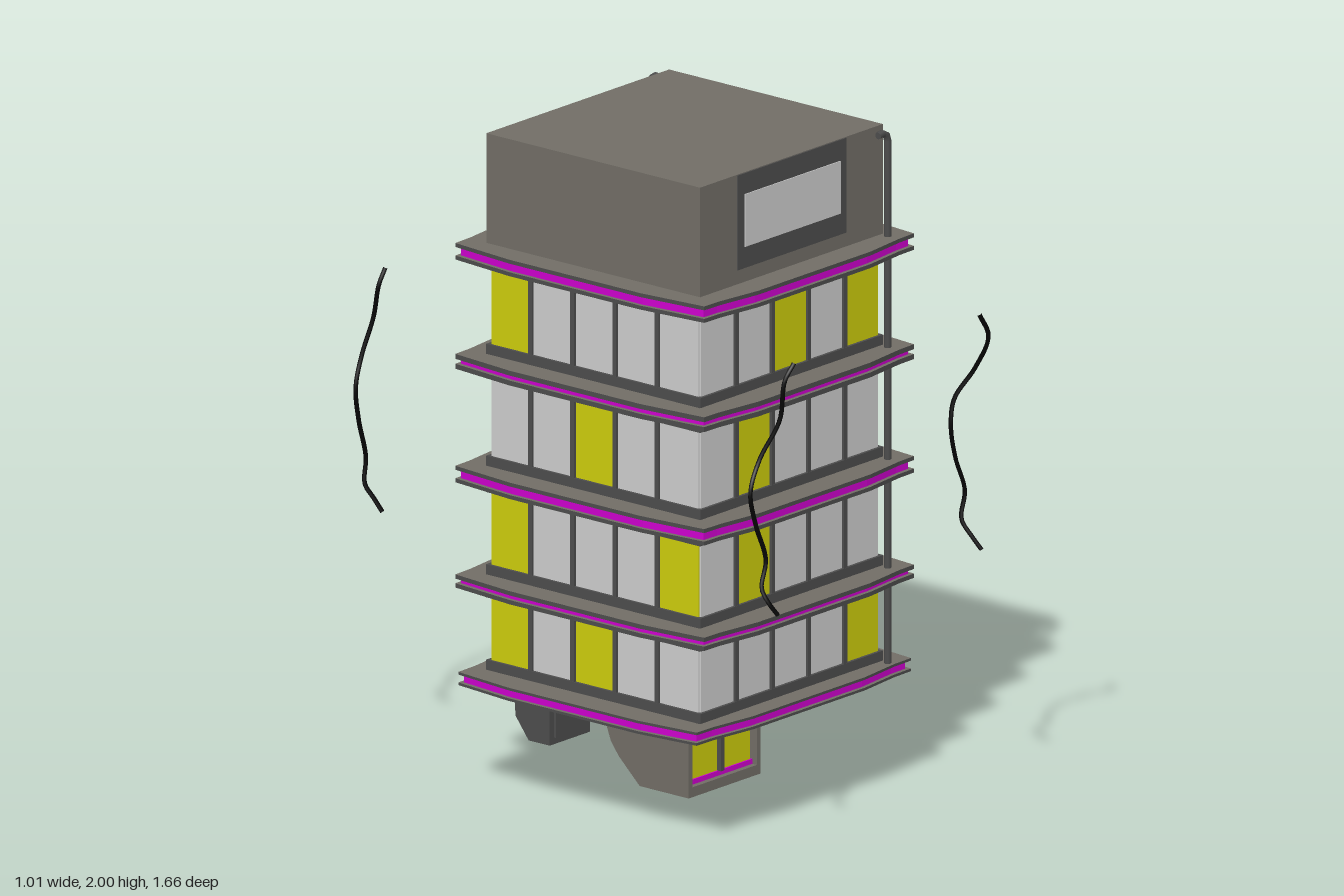
import * as THREE from 'three';

const mat = (name, color) => {
  const m = new THREE.MeshStandardMaterial({ color });
  m.name = name;
  return m;
};

export function createModel() {
  const model = new THREE.Group();
  model.name = 'towerBlock';
  const wall = mat('warm grey wall', 0x716d66);
  const dark = mat('dark grey trim', 0x4c4c4c);
  const glass = mat('pale glass', 0xcccccc);
  const lit = mat('yellow lit glass', 0xcccc0c);
  const neon = mat('magenta strip', 0xcc00cc);
  const black = mat('black cable', 0x050505);
  const CZ = 0.033; // the tower sits slightly forward of centre

  const add = (parent, name, geo, material) => {
    const m = new THREE.Mesh(geo, material);
    m.name = name;
    parent.add(m);
    return m;
  };
  // Box given by its min and max corners
  const box = (parent, name, x0, x1, y0, y1, z0, z1, material) => {
    const g = new THREE.BoxGeometry(x1 - x0, y1 - y0, z1 - z0);
    g.translate((x0 + x1) / 2, (y0 + y1) / 2, (z0 + z1) / 2);
    return add(parent, name, g, material);
  };
  const group = (name, parent = model) => {
    const g = new THREE.Group();
    g.name = name;
    parent.add(g);
    return g;
  };
  const toShape = pts => new THREE.Shape(pts.map(p => new THREE.Vector2(p[0], p[1])));
  // Side profile of [z, y] points, extruded from x0 to x1
  const profile = (parent, name, pts, x0, x1, material) => {
    const g = new THREE.ExtrudeGeometry(toShape(pts), { depth: x1 - x0, bevelEnabled: false });
    g.rotateY(-Math.PI / 2);
    g.translate(x1, 0, 0);
    return add(parent, name, g, material);
  };

  // Floor ledges: two bowed plates with a magenta strip between them
  const ledgeLayer = (parent, name, hx, hz, y0, y1, materials) => {
    const q = [[hx, 0.25], [hx - 0.022, hz - 0.02], [0.4, hz - 0.018], [0.25, hz]];
    const r = [...q].reverse();
    const pts = [
      ...q,
      ...r.map(([x, y]) => [-x, y]),
      ...q.map(([x, y]) => [-x, -y]),
      ...r.map(([x, y]) => [x, -y]),
    ];
    const g = new THREE.ExtrudeGeometry(toShape(pts), { depth: y1 - y0, bevelEnabled: false });
    g.rotateX(-Math.PI / 2);
    g.translate(0, y0, CZ);
    add(parent, name, g, materials);
  };
  const ledges = [
    [0.33, 0.37, 0.5, 0.475, 0.008],
    [0.62, 0.66, 0.49, 0.495, 0.013],
    [0.94, 0.99, 0.49, 0.495, 0.012],
    [1.285, 1.33, 0.49, 0.495, 0.015],
    [1.617, 1.667, 0.49, 0.495, 0.012],
  ];
  for (const [y0, y1, hx, hz, t] of ledges) {
    const g = group('ledge');
    ledgeLayer(g, 'ledgeBottom', hx, hz, y0, y0 + t, [wall, dark]);
    ledgeLayer(g, 'ledgeStrip', hx - 0.012, hz - 0.012, y0 + t, y1 - t, neon);
    ledgeLayer(g, 'ledgeTop', hx, hz, y1 - t, y1, [wall, dark]);
  }

  // Window storeys
  box(model, 'core', -0.388, 0.388, 0.35, 1.63, CZ - 0.388, CZ + 0.388, dark);
  const storeys = [[0.37, 0.4, 0.59, 0.62], [0.66, 0.69, 0.91, 0.94],
    [0.99, 1.02, 1.255, 1.285], [1.33, 1.36, 1.595, 1.62]];
  // Lit columns per storey, bottom to top, counted left to right from outside
  const sides = [
    ['front', 0, [[4], [1], [1], [2, 4]]],
    ['left', Math.PI / 2, [[], [3], [2], [3]]],
    ['back', Math.PI, [[1, 4], [1, 3], [2], [0, 2, 4]]],
    ['right', -Math.PI / 2, [[0, 2], [0, 4], [2], [0]]],
  ];
  for (const [label, turn, litColumns] of sides) {
    const side = group(label + 'Windows');
    side.position.z = CZ;
    side.rotation.y = turn;
    storeys.forEach(([y0, sill, head, y1], s) => {
      box(side, 'sill', -0.408, 0.408, y0, sill, 0.38, 0.409, dark);
      box(side, 'lintel', -0.408, 0.408, head, y1, 0.38, 0.409, dark);
      for (let c = 0; c < 5; c++) {
        const x = (c - 2) * 0.161;
        box(side, 'pane', x - 0.073, x + 0.073, sill, head, 0.386, 0.4,
          litColumns[s].includes(c) ? lit : glass);
        if (c < 4) box(side, 'mullion', x + 0.073, x + 0.088, sill, head, 0.38, 0.408, dark);
      }
    });
  }

  // Solid top storey with its large windows
  const top = group('topStorey');
  box(top, 'topBlock', -0.408, 0.408, 1.64, 2, CZ - 0.408, CZ + 0.408, wall);
  for (const turn of [0, Math.PI]) {
    const w = group('topWindow', top);
    w.position.z = CZ;
    w.rotation.y = turn;
    box(w, 'topWindowSurround', -0.243, 0.243, 1.71, 1.998, 0.405, 0.411, dark);
    box(w, 'topWindowGlass', -0.213, 0.213, 1.775, 1.935, 0.408, 0.414, glass);
  }
  box(top, 'sideWindowFrame', 0.404, 0.411, 1.705, 1.995, -0.213, 0.283, dark);
  box(top, 'sideWindowGlass', 0.406, 0.413, 1.715, 1.985, -0.203, 0.273, glass);

  // Drainpipes with a hook at the roof
  for (const z of [0.468, -0.396]) {
    const path = new THREE.CurvePath();
    const p = [[0.355, 1.982], [0.385, 1.987], [0.398, 1.965], [0.398, 0.36]]
      .map(([x, y]) => new THREE.Vector3(x, y, z));
    for (let i = 0; i < 3; i++) path.add(new THREE.LineCurve3(p[i], p[i + 1]));
    add(model, 'drainpipe', new THREE.TubeGeometry(path, 80, 0.011, 8, false), dark);
    const cap = new THREE.CircleGeometry(0.011, 8).rotateY(-Math.PI / 2);
    cap.translate(0.355, 1.982, z);
    add(model, 'pipeEnd', cap, dark);
  }

  // Entrance below the tower, curved at the back
  const entrance = group('entrance');
  profile(entrance, 'entranceBody', [[0.09, 0], [-0.07, 0], [-0.15, 0.075], [-0.18, 0.115],
    [-0.197, 0.16], [-0.203, 0.2], [-0.203, 0.335], [0.09, 0.335]].reverse(), -0.08, 0.24, wall);
  for (const [x0, x1] of [[-0.08, -0.062], [0.224, 0.24]])
    box(entrance, 'entrancePost', x0, x1, 0, 0.335, 0.09, 0.117, wall);
  box(entrance, 'threshold', -0.062, 0.224, 0, 0.03, 0.09, 0.117, wall);
  box(entrance, 'doorMullion', 0.072, 0.088, 0.045, 0.335, 0.09, 0.11, dark);
  box(entrance, 'doorStrip', -0.062, 0.224, 0.03, 0.045, 0.089, 0.1, neon);
  for (const [x0, x1] of [[-0.058, 0.072], [0.088, 0.22]])
    box(entrance, 'doorGlass', x0, x1, 0.045, 0.335, 0.088, 0.095, lit);
  profile(entrance, 'rearStrip', [[-0.074, -0.001], [-0.152, 0.072], [-0.146, 0.076],
    [-0.068, 0.003]].reverse(), -0.06, 0.22, neon);

  // Ventilation unit under the back
  const vent = group('ventUnit');
  profile(vent, 'ventBody', [[-0.17, 0.17], [-0.25, 0.17], [-0.3, 0.235], [-0.305, 0.3],
    [-0.325, 0.335], [-0.17, 0.335]].reverse(), -0.365, -0.185, dark);
  box(vent, 'ventFrame', -0.345, -0.205, 0.19, 0.285, -0.172, -0.163, dark);
  for (const y of [0.295, 0.31, 0.325])
    box(vent, 'ventSlat', -0.368, -0.182, y - 0.004, y + 0.004, -0.3, -0.164, dark);

  // Loose cables hanging around the tower
  const cables = [
    [[0.4, 1.5, 0.815], [0.43, 1.43, 0.825], [0.435, 1.32, 0.77], [0.385, 1.23, 0.733],
      [0.37, 1.15, 0.733], [0.39, 1.05, 0.733], [0.43, 0.94, 0.735], [0.412, 0.86, 0.737],
      [0.425, 0.81, 0.765], [0.44, 0.77, 0.79]],
    [[-0.385, 1.53, 0.78], [-0.415, 1.48, 0.77], [-0.42, 1.36, 0.755], [-0.46, 1.24, 0.712],
      [-0.5, 1.15, 0.712], [-0.48, 1.05, 0.714], [-0.435, 0.93, 0.715], [-0.455, 0.85, 0.716],
      [-0.45, 0.81, 0.737], [-0.43, 0.77, 0.757]],
  ];
  cables.push(cables[0].map(([x, y, z]) => [x, y, z - 1.54]));
  cables.push([[-0.4, 1.51, -0.767], [-0.42, 1.46, -0.775], [-0.42, 1.36, -0.795],
    [-0.445, 1.24, -0.82], [-0.468, 1.15, -0.822], [-0.455, 1.05, -0.822], [-0.425, 0.93, -0.82],
    [-0.43, 0.85, -0.82], [-0.42, 0.81, -0.795], [-0.41, 0.77, -0.77]]);
  for (const pts of cables) {
    const curve = new THREE.CatmullRomCurve3(pts.map(p => new THREE.Vector3(...p)));
    add(model, 'cable', new THREE.TubeGeometry(curve, 48, 0.007, 6, false), black);
  }

  return model;
}
